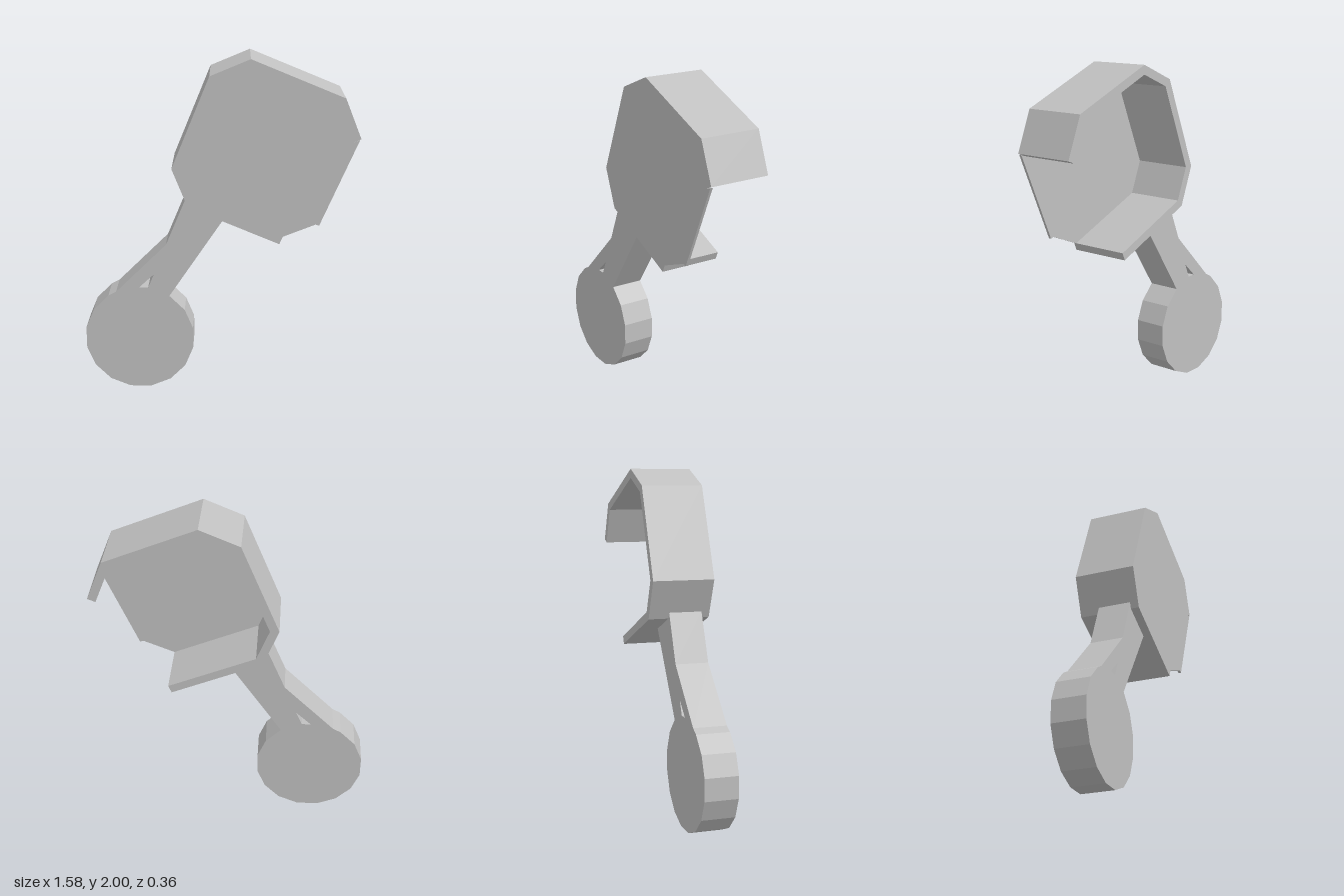
import * as THREE from 'three';

const v = (x, y) => new THREE.Vector2(x, y);

// Extrude an outline between two z planes
function slab(name, points, z0, z1, material, holes = []) {
  const shape = new THREE.Shape(points);
  for (const h of holes) shape.holes.push(new THREE.Path(h));
  const geometry = new THREE.ExtrudeGeometry(shape, { depth: z1 - z0, bevelEnabled: false });
  geometry.translate(0, 0, z0);
  const mesh = new THREE.Mesh(geometry, material);
  mesh.name = name;
  return mesh;
}

// Mitred offset of an open path, to its left-hand side
function offsetPath(path, d) {
  const normals = path.slice(1).map((p, i) => {
    const e = p.clone().sub(path[i]).normalize();
    return v(-e.y, e.x);
  });
  return path.map((p, i) => {
    const a = normals[Math.max(i - 1, 0)];
    const b = normals[Math.min(i, normals.length - 1)];
    return a.clone().add(b).multiplyScalar(d / (1 + a.dot(b))).add(p);
  });
}

export function createModel() {
  const group = new THREE.Group();
  group.name = 'housingOnArm';
  const grey = new THREE.MeshStandardMaterial({ color: 0xc0c0c0, flatShading: true });
  grey.name = 'grey';

  // Open rim around the housing, counter-clockwise from the right end to the bottom end
  const rim = [
    v(0.79, 1.555), v(0.697, 1.785), v(0.172, 2), v(-0.055, 1.905),
    v(-0.27, 1.38), v(-0.18, 1.155), v(0.345, 0.935),
  ];
  const inner = offsetPath(rim, 0.049);
  group.add(slab('housingRim', [...rim, ...inner.slice().reverse()], -0.181, 0.181, grey));

  // Thin front cover filling the rim and spanning its open side
  const cover = [...inner, v(0.55, 1.055), v(0.57, 1.048), v(0.782, 1.548)];
  group.add(slab('frontCover', cover, 0.165, 0.181, grey));

  // Arm: sixteen-sided disc running into a slanted bar with a brace
  const outline = [v(0.025, 1.07), v(0.035, 1.08), v(-0.17, 1.165), v(-0.193, 1.193),
    v(-0.31, 0.912), v(-0.61, 0.615)];
  for (let i = 0; i < 15; i++) {
    const a = Math.PI * (5 / 8 + 1 / 16 + i / 8);
    if (i < 14) outline.push(v(-0.476 + 0.325 * Math.cos(a), 0.32 + 0.325 * Math.sin(a)));
  }
  const gap = [v(-0.475, 0.642), v(-0.384, 0.727), v(-0.42, 0.642)];
  group.add(slab('arm', outline, -0.063, 0.132, grey, [gap]));

  return group;
}
